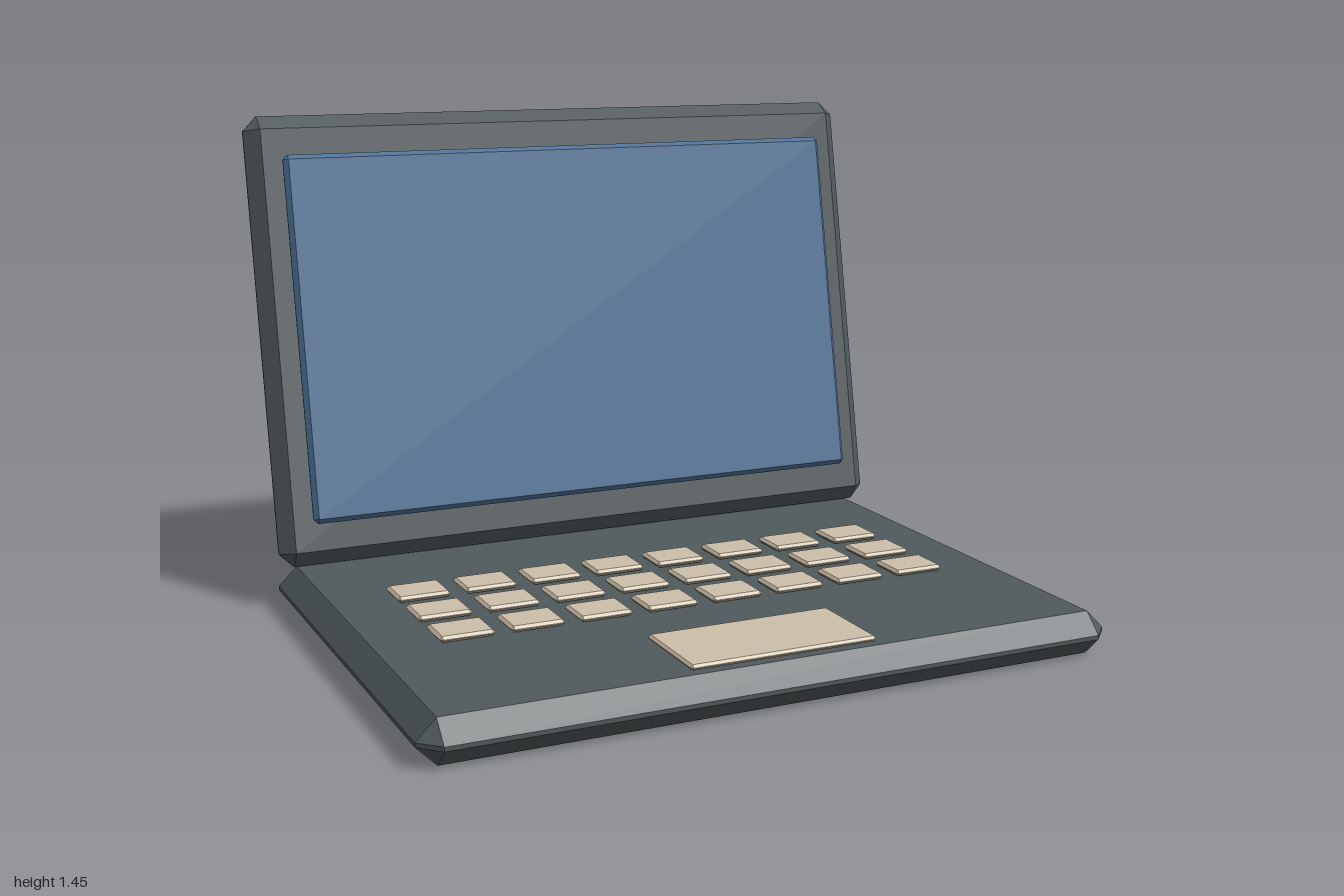
import * as THREE from 'three';
import { ConvexGeometry } from 'three/addons/geometries/ConvexGeometry.js';

const casing = new THREE.MeshStandardMaterial({ color: 0x50595c });
casing.name = 'slate casing';
const glass = new THREE.MeshStandardMaterial({ color: 0x4a6e94 });
glass.name = 'blue glass';
const beige = new THREE.MeshStandardMaterial({ color: 0xcdbfa9 });
beige.name = 'beige keys';

// Box with every edge chamfered by c
function chamferBox(w, h, d, c) {
  const [a, b, e] = [w / 2, h / 2, d / 2];
  const points = [];
  for (const x of [-1, 1]) for (const y of [-1, 1]) for (const z of [-1, 1]) {
    points.push(
      new THREE.Vector3(x * a, y * (b - c), z * (e - c)),
      new THREE.Vector3(x * (a - c), y * b, z * (e - c)),
      new THREE.Vector3(x * (a - c), y * (b - c), z * e)
    );
  }
  return new ConvexGeometry(points);
}

function addPart(parent, name, geometry, material, x, y, z) {
  const mesh = new THREE.Mesh(geometry, material);
  mesh.name = name;
  mesh.position.set(x, y, z);
  parent.add(mesh);
  return mesh;
}

export function createModel() {
  const model = new THREE.Group();
  model.name = 'laptop';

  // Base
  addPart(model, 'base', chamferBox(2, 0.122, 1.446, 0.055), casing, 0, 0.061, 0.112);

  // Three rows of eight keys
  const keyboard = new THREE.Group();
  keyboard.name = 'keyboard';
  model.add(keyboard);
  const keyGeometry = chamferBox(0.156, 0.018, 0.126, 0.008);
  for (let row = 0; row < 3; row++) {
    for (let col = 0; col < 8; col++) {
      addPart(keyboard, 'key', keyGeometry, beige, (col - 3.5) * 0.2, 0.136, -0.127 + row * 0.185);
    }
  }

  // Trackpad
  addPart(model, 'trackpad', chamferBox(0.544, 0.016, 0.27, 0.007), beige, 0, 0.136, 0.638);

  // Lid leaning back, with the screen panel floating just in front of it
  const lid = new THREE.Group();
  lid.name = 'lid';
  lid.position.set(0, 0.787, -0.666);
  lid.rotation.x = -0.198;
  model.add(lid);
  addPart(lid, 'lidShell', chamferBox(2, 1.346, 0.092, 0.043), casing, 0, 0, 0);
  addPart(lid, 'screen', chamferBox(1.806, 1.096, 0.032, 0.014), glass, 0, 0, 0.067);

  return model;
}
